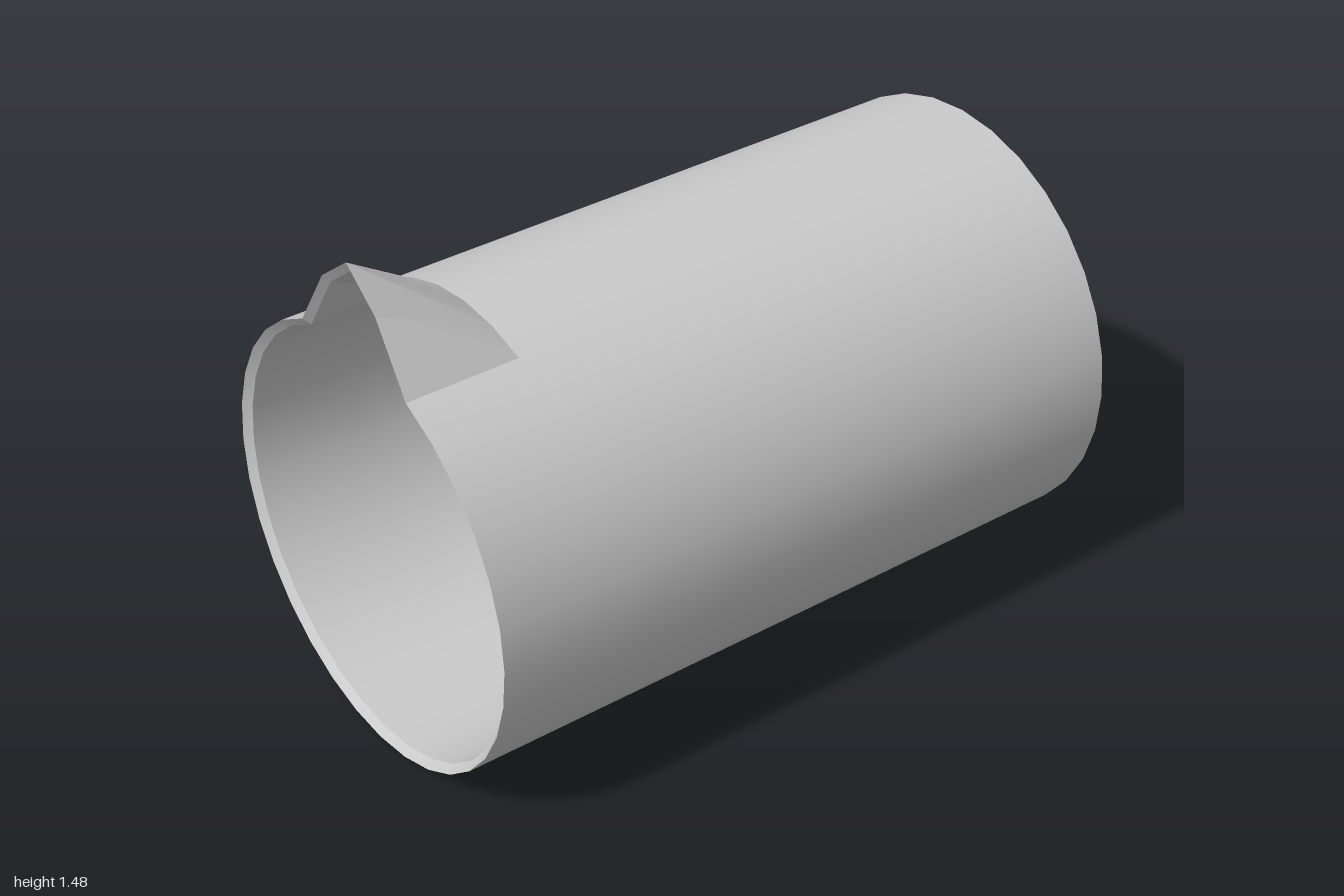
import * as THREE from 'three';
import { toCreasedNormals } from 'three/addons/utils/BufferGeometryUtils.js';

const SIDES = 32;
const CENTER_Y = 0.627;

// Cross-sections from the outer base, over the lip, to the inner floor.
// lift scales how far the top points are pulled up into the spout.
const rings = [
  { r: 0, z: -1, lift: 0 },
  { r: 0.626, z: -1, lift: 0 },
  { r: 0.626, z: 0.67, lift: 0 },
  { r: 0.626, z: 1, lift: 1 },
  { r: 0.604, z: 0.98, lift: 0.98 },
  { r: 0.604, z: 0.67, lift: 0 },
  { r: 0.604, z: -0.975, lift: 0 },
  { r: 0, z: -0.975, lift: 0 },
];

// Spout height by number of steps away from the top point
const spoutLift = [0.232, 0.149];

function ringPoint({ r, z, lift }, i) {
  const a = (i / SIDES) * Math.PI * 2;
  const step = Math.min(i % SIDES, SIDES - (i % SIDES));
  const y = CENTER_Y + r * Math.cos(a) + lift * (spoutLift[step] ?? 0);
  return [r * Math.sin(a), y, z];
}

function createJugGeometry() {
  const pos = [];
  const triangle = (...points) => points.forEach((p) => pos.push(...p));
  for (let j = 0; j < rings.length - 1; j++) {
    for (let i = 0; i < SIDES; i++) {
      const a = ringPoint(rings[j], i);
      const b = ringPoint(rings[j + 1], i);
      const c = ringPoint(rings[j + 1], (i + 1) % SIDES);
      const d = ringPoint(rings[j], (i + 1) % SIDES);
      if (rings[j].r === 0) {
        triangle(a, b, c); // base disc
      } else if (rings[j + 1].r === 0) {
        triangle(a, b, d); // inner floor disc
      } else if ((i >= SIDES / 2) !== (j > 3)) {
        triangle(a, b, c); // diagonals mirrored left/right and inside/outside
        triangle(a, c, d);
      } else {
        triangle(a, b, d);
        triangle(b, c, d);
      }
    }
  }
  const geometry = new THREE.BufferGeometry();
  geometry.setAttribute('position', new THREE.Float32BufferAttribute(pos, 3));
  return toCreasedNormals(geometry, 0.3);
}

export function createModel() {
  const model = new THREE.Group();
  model.name = 'jug';
  // Hollow cylinder lying on its side with a pointed pouring spout
  const body = new THREE.Mesh(
    createJugGeometry(),
    new THREE.MeshStandardMaterial({ color: 0xcccccc })
  );
  body.name = 'bodyWithSpout';
  model.add(body);
  return model;
}
